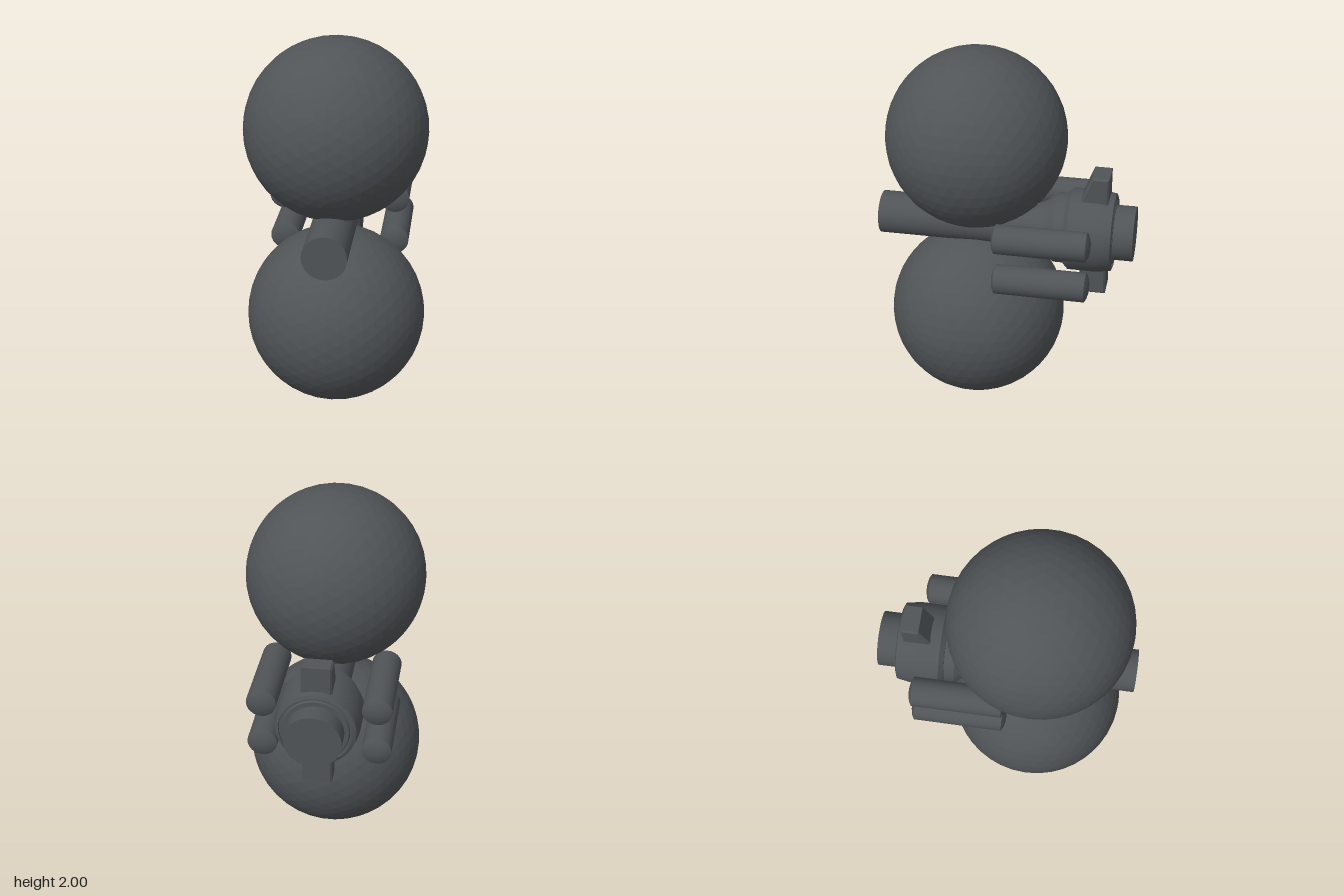
import * as THREE from 'three';
import { toCreasedNormals } from 'three/addons/utils/BufferGeometryUtils.js';

const AXIS_Y = 1.025;

// Solid of revolution along z from [z, radius] pairs, listed back to front
function turned(profile, segments = 40) {
  const points = profile.map(([z, r]) => new THREE.Vector2(r, z));
  const geo = new THREE.LatheGeometry(points, segments);
  geo.rotateX(Math.PI / 2);
  return toCreasedNormals(geo, 0.45);
}

export function createModel() {
  const model = new THREE.Group();
  model.name = 'twinSphereCraft';
  const grey = new THREE.MeshStandardMaterial({ color: 0x505457 });
  grey.name = 'darkGrey';
  const facetedGrey = grey.clone();
  facetedGrey.flatShading = true;

  function add(name, geo, x, y, z, mat = grey) {
    const mesh = new THREE.Mesh(geo, mat);
    mesh.name = name;
    mesh.position.set(x, y, z);
    model.add(mesh);
    return mesh;
  }

  // Two large faceted spheres, one above the other
  const ball = new THREE.IcosahedronGeometry(0.478, 7);
  add('upperSphere', ball, 0, 1.522, 0.163, facetedGrey);
  add('lowerSphere', ball, 0, 0.478, 0.163, facetedGrey);

  // Long central shaft
  add('shaft', turned([[-0.3, 0], [-0.3, 0.115], [0.69, 0.115], [0.69, 0]]), 0, AXIS_Y, 0);

  // Rear engine: nozzle, stepped rim, drum, shoulder and collar
  add('engine', turned([
    [-0.69, 0], [-0.69, 0.147], [-0.585, 0.147], [-0.585, 0.17],
    [-0.575, 0.175], [-0.575, 0.188], [-0.585, 0.19], [-0.578, 0.207],
    [-0.5, 0.22], [-0.35, 0.22], [-0.325, 0.195], [-0.325, 0.188],
    [-0.27, 0.188], [-0.21, 0.14], [-0.17, 0.125], [-0.17, 0],
  ]), 0, AXIS_Y, 0);

  // Four side tubes with shallow domed ends
  const tube = turned([
    [-0.49, 0], [-0.487, 0.03], [-0.48, 0.058], [-0.469, 0.078],
    [0.008, 0.078], [0.019, 0.058], [0.026, 0.03], [0.029, 0],
  ], 24);
  for (const [side, x] of [['left', 0.298], ['right', -0.298]]) {
    add(side + 'UpperTube', tube, x, 1.088, 0);
    add(side + 'LowerTube', tube, x, 0.847, 0);
  }

  // Fins above and below the engine, front edge raked back
  const outline = new THREE.Shape();
  outline.moveTo(0.4, 0.17);
  outline.lineTo(0.54, 0.17);
  outline.lineTo(0.54, 0.335);
  outline.lineTo(0.465, 0.335);
  outline.lineTo(0.415, 0.21);
  outline.closePath();
  const fin = new THREE.ExtrudeGeometry(outline, {
    depth: 0.138, bevelEnabled: true, bevelThickness: 0.01, bevelSize: 0.01, bevelSegments: 1,
  });
  fin.translate(0, 0, -0.069);
  fin.rotateY(Math.PI / 2);
  add('upperFin', fin, 0, AXIS_Y, 0, facetedGrey);
  add('lowerFin', fin.clone().rotateZ(Math.PI), 0, AXIS_Y, 0, facetedGrey);

  return model;
}
